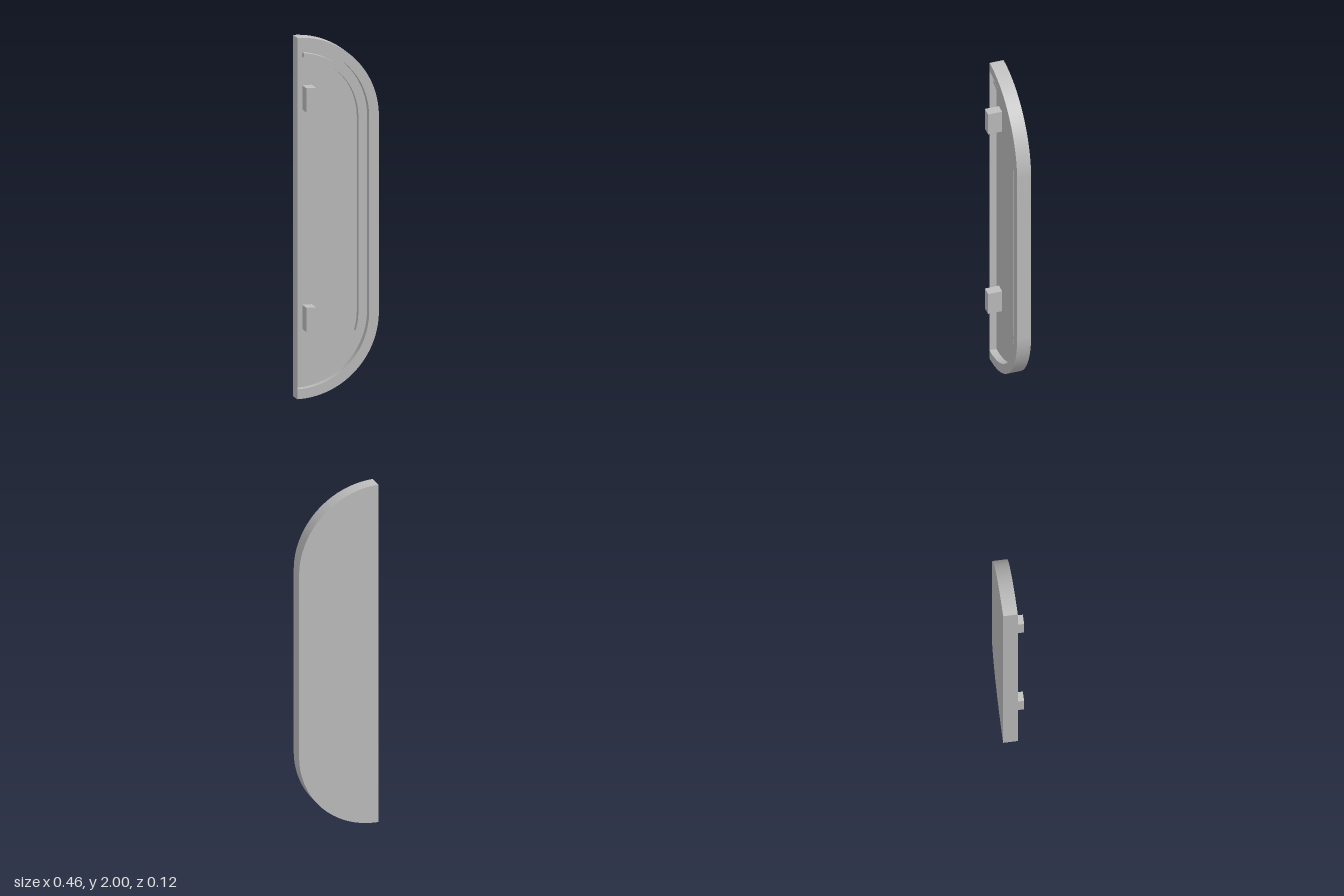
import * as THREE from 'three';
import { toCreasedNormals } from 'three/addons/utils/BufferGeometryUtils.js';

const LEFT = -0.23, LOW = 0.46, HIGH = 1.54; // straight edge and the two arc centres
const FLOOR = -0.02, FRONT = 0.02, BACK = -0.06;

// Walk along a D-shaped line of radius r, from the lower to the upper angle
function follow(shape, r, from, to, reverse = false) {
  if (reverse) {
    shape.absarc(LEFT, HIGH, r, to, 0, true);
    shape.absarc(LEFT, LOW, r, 0, from, true);
  } else {
    shape.absarc(LEFT, LOW, r, from, 0, false);
    shape.absarc(LEFT, HIGH, r, 0, to, false);
  }
}

function strip(outer, inner, from, to) {
  const shape = new THREE.Shape();
  follow(shape, outer, from, to);
  follow(shape, inner, from, to, true);
  shape.closePath();
  return shape;
}

function extrude(shape, z0, z1) {
  const geometry = new THREE.ExtrudeGeometry(shape, { depth: z1 - z0, bevelEnabled: false, curveSegments: 40 });
  geometry.translate(0, 0, z0);
  return toCreasedNormals(geometry, 0.5);
}

export function createModel() {
  const group = new THREE.Group();
  const grey = new THREE.MeshStandardMaterial({ color: 0xc0c0c0 });
  grey.name = 'plain grey';
  const greyThin = grey;
  greyThin.side = THREE.DoubleSide;
  const add = (name, geometry) => {
    const mesh = new THREE.Mesh(geometry, grey);
    mesh.name = name;
    group.add(mesh);
    return mesh;
  };
  const quarter = Math.PI / 2;

  // Solid back panel
  const panel = new THREE.Shape();
  follow(panel, 0.46, -quarter, quarter);
  panel.closePath();
  add('backPanel', extrude(panel, BACK, FLOOR));

  // Raised rim around the curved side, and the thin wall on the straight side
  add('rim', extrude(strip(0.46, 0.405, -quarter, quarter), FLOOR, FRONT));
  const wall = add('straightWall', new THREE.PlaneGeometry(FRONT - FLOOR, 1.89));
  wall.rotation.y = -quarter;
  wall.position.set(LEFT, 1, (FRONT + FLOOR) / 2);

  // Rib inside the recess, stopping short at both ends
  add('innerRib', extrude(strip(0.373, 0.347, -0.3, 1.46), FLOOR, 0.01));

  // Two hinge tabs standing on the recessed floor
  for (const [name, y] of [['lowerTab', 0.445], ['upperTab', 1.66]]) {
    add(name, new THREE.BoxGeometry(0.054, 0.134, 0.08)).position.set(-0.163, y, 0.02);
  }
  return group;
}
